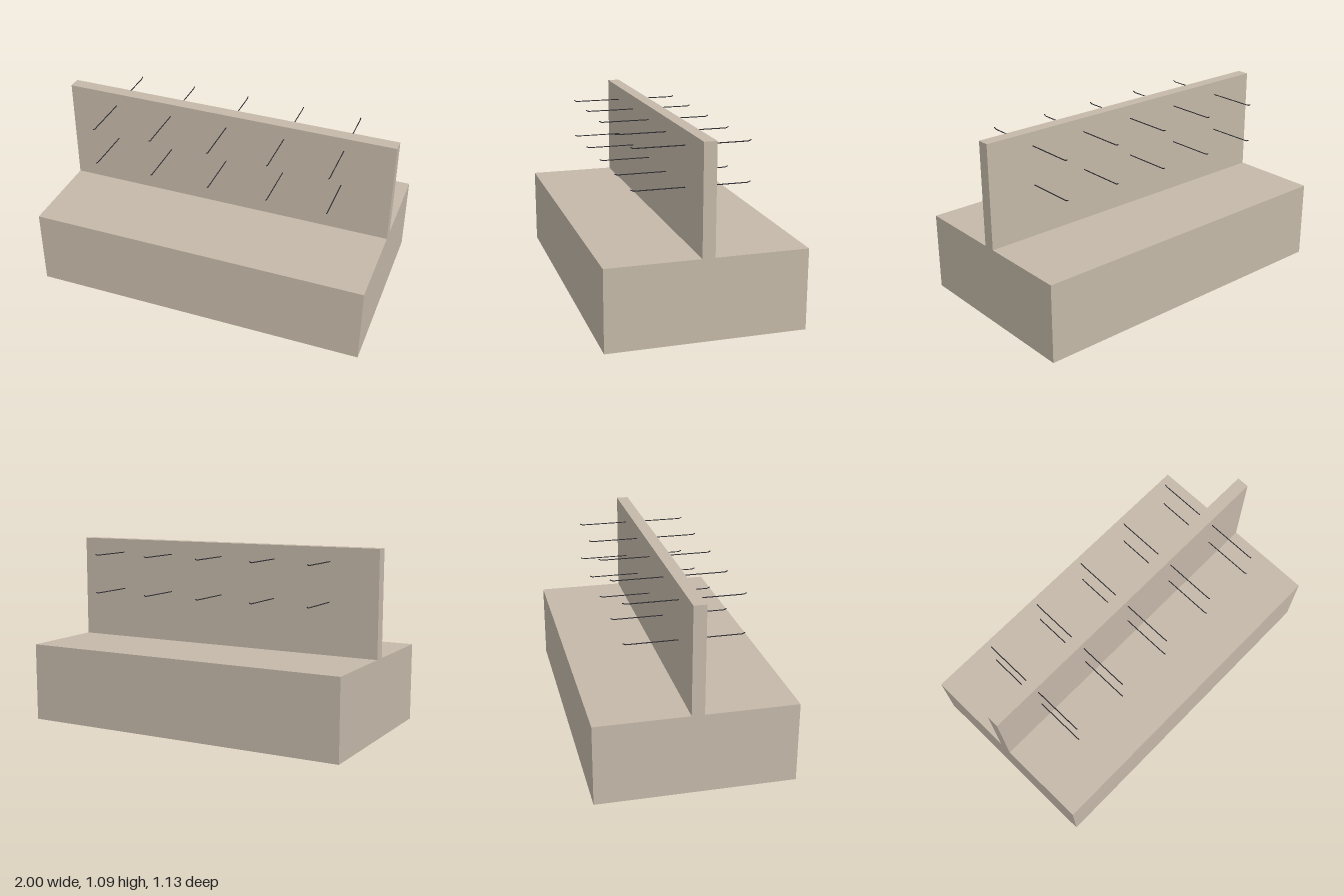
import * as THREE from 'three';

const beige = new THREE.MeshStandardMaterial({ color: 0xc4b8a8, side: THREE.DoubleSide });
beige.name = 'beige board';
const dark = new THREE.MeshStandardMaterial({ color: 0x2e2d33 });
dark.name = 'dark metal';

const BASE_TOP = 0.466, PANEL_TOP = 1.086, PANEL_HALF = 0.036;

// Thin-walled box without its underside, standing on the given height
function openBox(name, width, height, depth, bottom) {
  const geometry = new THREE.BoxGeometry(width, height, depth);
  const index = Array.from(geometry.index.array);
  index.splice(18, 6); // drop the underside
  geometry.setIndex(index);
  geometry.clearGroups();
  const mesh = new THREE.Mesh(geometry, beige);
  mesh.name = name;
  mesh.position.y = bottom + height / 2;
  return mesh;
}

// Straight round rod between two points
function rod(name, from, to, radius) {
  const direction = to.clone().sub(from);
  const mesh = new THREE.Mesh(new THREE.CylinderGeometry(radius, radius, direction.length(), 8), dark);
  mesh.name = name;
  mesh.position.copy(from).add(to).multiplyScalar(0.5);
  mesh.quaternion.setFromUnitVectors(new THREE.Vector3(0, 1, 0), direction.normalize());
  return mesh;
}

// Display hook with a short upturned tip; side is +1 for front, -1 for back
function hook(x, y, side) {
  const group = new THREE.Group();
  group.name = side > 0 ? 'frontHook' : 'backHook';
  const root = new THREE.Vector3(x, y, side * PANEL_HALF);
  const bend = new THREE.Vector3(x, y, side * 0.322);
  const tip = new THREE.Vector3(x, y + 0.007, side * 0.338);
  group.add(rod('hookArm', root, bend, 0.003), rod('hookTip', bend, tip, 0.003));
  return group;
}

export function createModel() {
  const model = new THREE.Group();
  model.name = 'displayStand';

  // Hollow plinth and upright divider
  model.add(openBox('base', 2, BASE_TOP, 1.13, 0));
  model.add(openBox('backPanel', 2, PANEL_TOP - BASE_TOP, PANEL_HALF * 2, BASE_TOP));

  // Two rows of five hooks on each face
  for (const side of [1, -1])
    for (const y of [0.773, 1.004])
      for (let i = -2; i <= 2; i++) model.add(hook(i * 0.352, y, side));

  return model;
}
